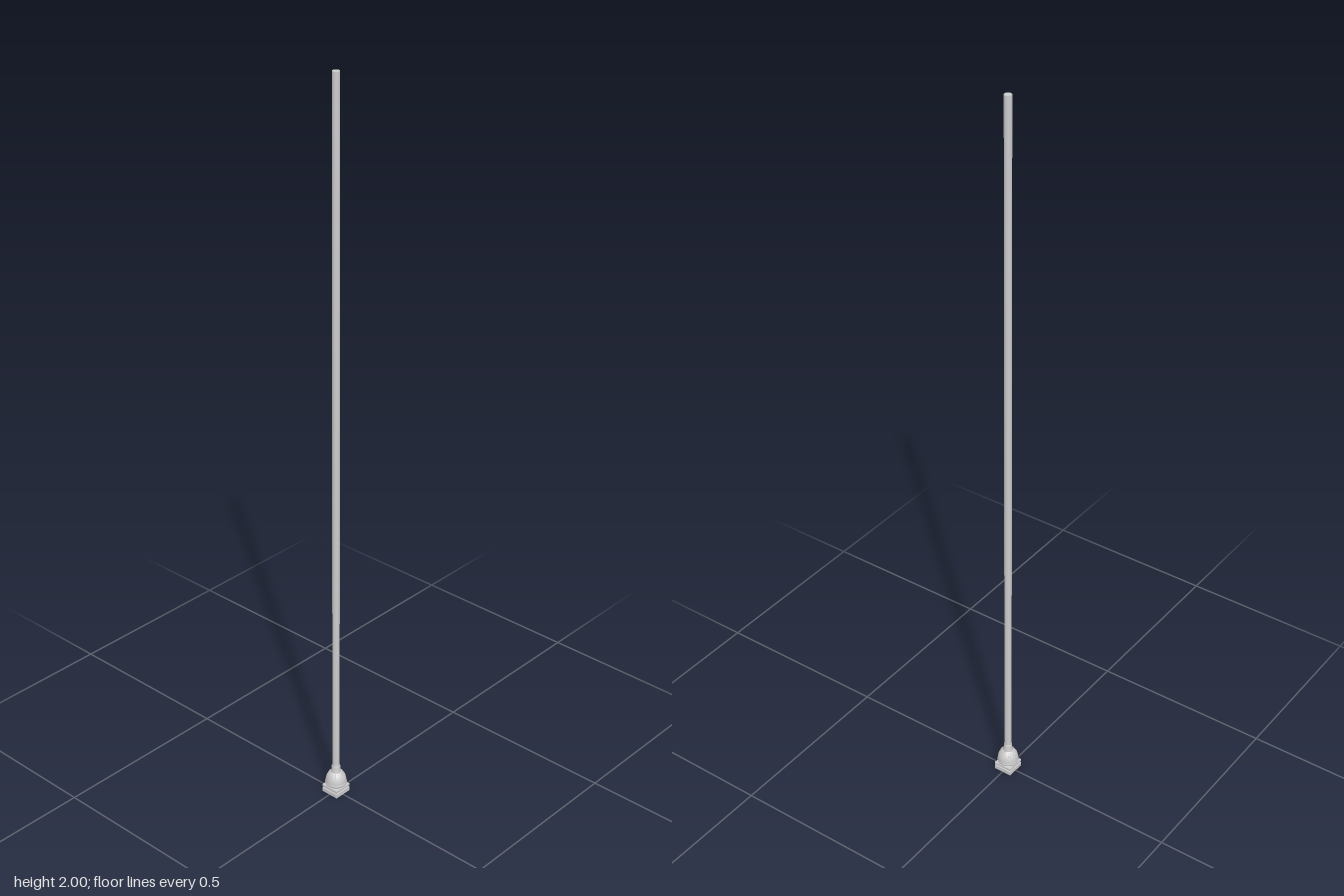
import * as THREE from 'three';

export function createModel() {
  const model = new THREE.Group();
  const material = new THREE.MeshStandardMaterial({ color: 0xcccccc, side: THREE.DoubleSide });

  function add(name, geometry, y = 0, parent = model) {
    const mesh = new THREE.Mesh(geometry, material);
    mesh.name = name;
    mesh.position.y = y;
    parent.add(mesh);
    return mesh;
  }

  // Square foot: two slabs with a slimmer block between them
  add('footSlab', new THREE.BoxGeometry(0.052, 0.011, 0.052), 0.0055);
  add('footBlock', new THREE.BoxGeometry(0.044, 0.007, 0.044), 0.0135);
  add('footCap', new THREE.BoxGeometry(0.052, 0.006, 0.052), 0.019);
  add('footNeck', new THREE.CylinderGeometry(0.024, 0.022, 0.008, 32), 0.025);

  // Dome with a rolled lower rim
  const domeY = 0.034, domeR = 0.0285, domeH = 0.036;
  const profile = [[0, 0.027], [0.026, 0.027], [0.029, 0.028], [0.0298, 0.031], [0.029, 0.034]]
    .map(([r, y]) => new THREE.Vector2(r, y));
  for (let i = 0; i <= 12; i++) {
    const a = (i / 12) * Math.PI / 2;
    profile.push(new THREE.Vector2(domeR * Math.cos(a), domeY + domeH * Math.sin(a)));
  }
  add('dome', new THREE.LatheGeometry(profile, 40));

  // Small raised leaves around the dome
  const leaves = new THREE.Group();
  leaves.name = 'domeLeaves';
  model.add(leaves);
  for (let i = 0; i < 8; i++) {
    const arm = new THREE.Group();
    arm.rotation.y = (i / 8) * Math.PI * 2;
    leaves.add(arm);
    const a = 0.8;
    const leaf = add('leaf', new THREE.SphereGeometry(1, 10, 8), domeY + domeH * Math.sin(a), arm);
    leaf.scale.set(0.0035, 0.008, 0.001);
    leaf.position.z = domeR * Math.cos(a);
    leaf.rotation.x = -Math.atan2(domeR * Math.sin(a), domeH * Math.cos(a));
  }

  // Collar holding the pole
  const collar = [[0.0135, 0.064], [0.0135, 0.07], [0.0115, 0.073], [0.0115, 0.084], [0.0098, 0.086]];
  add('collar', new THREE.LatheGeometry(collar.map(([r, y]) => new THREE.Vector2(r, y)), 28));

  // Tall pole
  add('pole', new THREE.CylinderGeometry(0.0095, 0.0098, 1.94, 28), 1.03);

  return model;
}
